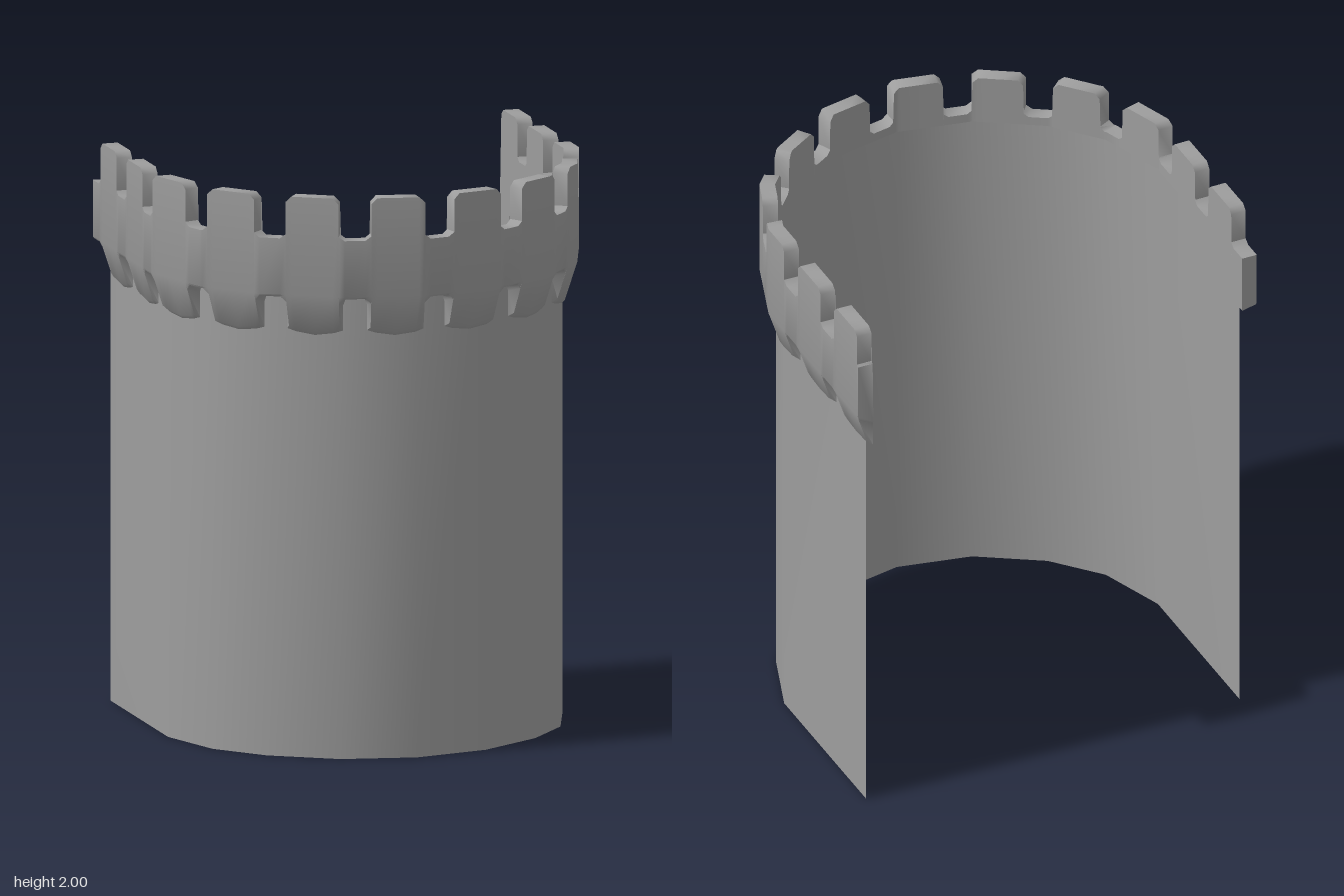
import * as THREE from 'three';
import { toCreasedNormals } from 'three/addons/utils/BufferGeometryUtils.js';

const BACK = -0.75; // straight sides run this far before being clipped

// Half of the wall plan, from the middle of the front to the straight side
const QUARTER = [[0, 0.62], [0.265, 0.567], [0.49, 0.428], [0.635, 0.263], [0.72, 0.02]];

// U-shaped plan, running from -x round the front to +x
function planPoints(offset) {
  const side = QUARTER.map(([x, z]) => [x * (1 + offset / 0.72), z * (1 + offset / 0.62)]);
  side.push([0.72 + offset, BACK]);
  const mirrored = side.slice(1).reverse().map(([x, z]) => [-x, z]);
  return [...mirrored, ...side].map(([x, z]) => new THREE.Vector2(x, z));
}

// Arc length of every plan corner, measured from the middle of the front
const mid = planPoints(0.03);
const knots = [0];
for (let i = 1; i < mid.length; i++) knots.push(knots[i - 1] + mid[i].distanceTo(mid[i - 1]));
const half = knots[knots.length - 1] / 2;
knots.forEach((k, i) => { knots[i] = k - half; });

function place(s, y, offset) {
  const pts = planPoints(offset);
  let i = 0;
  while (i < knots.length - 2 && s > knots[i + 1]) i++;
  const p = pts[i].clone().lerp(pts[i + 1], (s - knots[i]) / (knots[i + 1] - knots[i]));
  return new THREE.Vector3(p.x, y, p.y);
}

// Joins neighbouring rows of points into a surface with soft and sharp edges
function loft(rows, closed) {
  const pos = [];
  const tri = (a, b, c) => {
    const area = b.clone().sub(a).cross(c.clone().sub(a)).length();
    if (area > 1e-9) pos.push(...a.toArray(), ...b.toArray(), ...c.toArray());
  };
  const n = rows[0].length;
  for (let r = 0; r < rows.length - 1; r++) {
    const a = rows[r], b = rows[r + 1];
    for (let i = 0; i < (closed ? n : n - 1); i++) {
      const j = (i + 1) % n;
      tri(a[i], b[i], b[j]);
      tri(a[i], b[j], a[j]);
    }
  }
  if (closed) {
    const a = rows[0], b = rows[rows.length - 1];
    for (let i = 1; i < n - 1; i++) {
      tri(a[0], a[i], a[i + 1]);
      tri(b[0], b[i + 1], b[i]);
    }
  }
  const geo = new THREE.BufferGeometry();
  geo.setAttribute('position', new THREE.Float32BufferAttribute(pos, 3));
  return toCreasedNormals(geo, 0.9);
}

// Open curved wall
function wallGeometry() {
  const pts = planPoints(0);
  pts[0].y = pts[pts.length - 1].y = -0.64;
  return loft(pts.map((p) => [0, 1.82].map((y) => new THREE.Vector3(p.x, y, p.y))), false);
}

// Stations along the parapet: [arc length, top height, bottom height, slant of the notch side]
function parapetStations(start, end) {
  const period = 0.2935;
  // one gap with its notch below, then one merlon with its tooth below
  const unit = [
    [0, 1.98, 1.53, 0.012], [0, 1.865, 1.62, 0.012], [0.02, 1.85, 1.64, 0], [0.09, 1.85, 1.64, 0],
    [0.11, 1.865, 1.62, -0.012], [0.11, 1.98, 1.53, -0.012],
    [0.13, 2, 1.52, 0], [0.2, 2, 1.51, 0], [0.272, 2, 1.52, 0],
  ];
  const all = [];
  for (let k = -7; k <= 7; k++) {
    for (const [s, ...rest] of unit) all.push([0.01 + k * period + s, ...rest]);
  }
  // add stations at plan corners and at both ends
  const cuts = [start, ...knots.filter((k) => k > start && k < end), end];
  const out = [];
  for (let i = 0; i < all.length - 1; i++) {
    const a = all[i], b = all[i + 1];
    if (a[0] > start && a[0] < end) out.push(a);
    for (const c of cuts) {
      if (c > a[0] && c <= b[0]) {
        const t = (c - a[0]) / (b[0] - a[0]);
        out.push(a.map((v, n) => v + (b[n] - v) * t));
      }
    }
  }
  return out;
}

// Parapet band, flaring out from the wall below y = 1.65
function parapetGeometry() {
  const inner = 0.004, outer = 0.06;
  const flare = (y) => outer - 0.045 * Math.max(0, (1.65 - y) / 0.14);
  const rows = parapetStations(-1.73, 1.78).map(([s, top, bottom, slant]) => [
    place(s + slant, bottom - 0.008, inner),
    place(s, bottom + 0.004, flare(bottom)),
    place(s, 1.65, outer),
    place(s, top, outer),
    place(s, top, inner),
  ]);
  return loft(rows, true);
}

export function createModel() {
  const group = new THREE.Group();
  group.name = 'openTower';
  const material = new THREE.MeshStandardMaterial({ color: 0x9d9d9d, side: THREE.DoubleSide });

  const wall = new THREE.Mesh(wallGeometry(), material);
  wall.name = 'wall';
  const parapet = new THREE.Mesh(parapetGeometry(), material);
  parapet.name = 'parapet';
  group.add(wall, parapet);
  return group;
}
